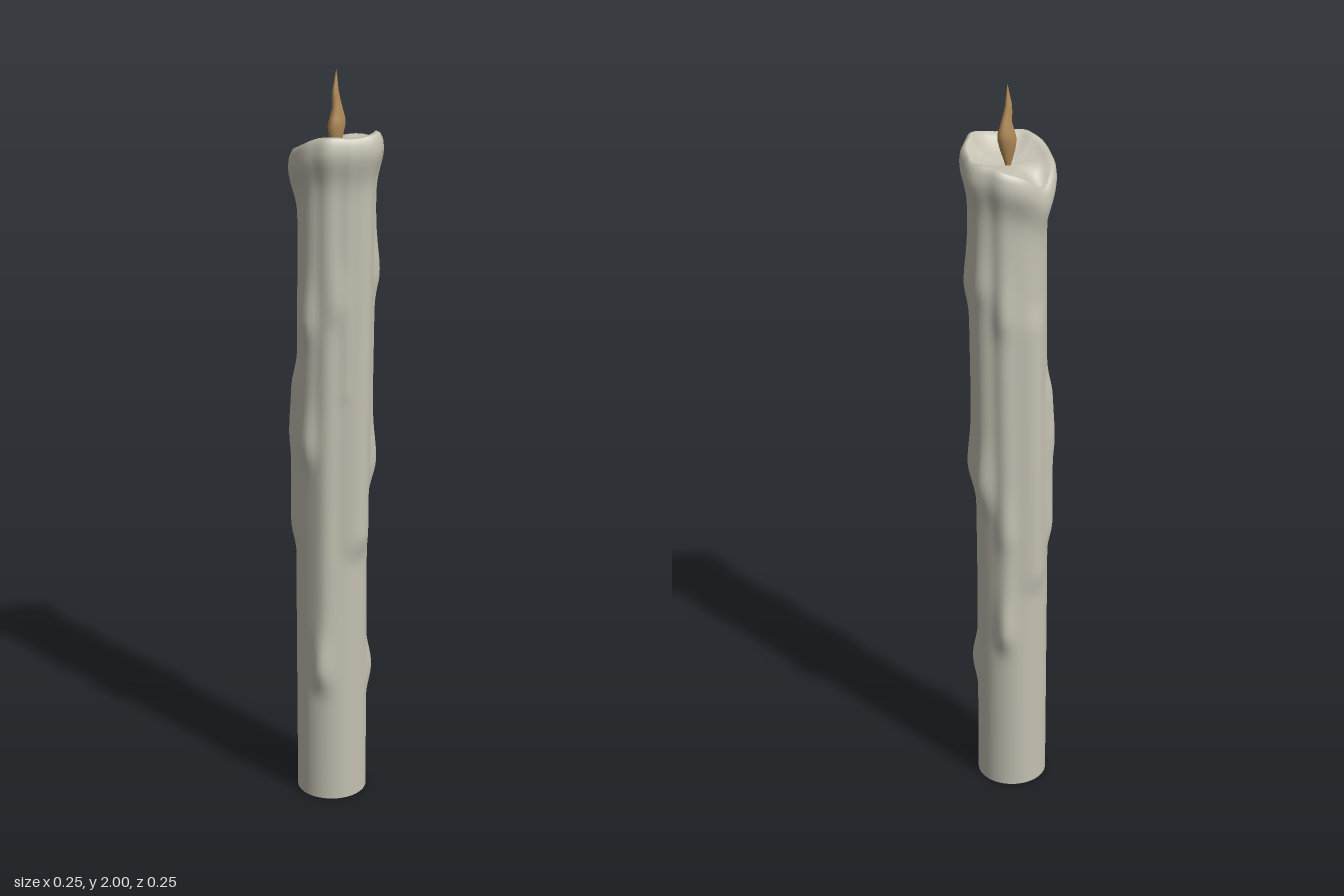
import * as THREE from 'three';

const SEG = 64;
const rad = THREE.MathUtils.degToRad;
const step = THREE.MathUtils.smoothstep;
// Bell curve on an angle in degrees, wrapping round the candle
const around = (a, centre, width) => {
  const d = ((a - centre + 540) % 360) - 180;
  return Math.exp(-((d / width) ** 2));
};

// Angle 0 is the front (+z), 90 is +x: [angle, top, bottom, thickness, width]
const DRIPS = [
  [0, 1.9, 0.74, 0.016, 26],
  [45, 1.9, 0.9, 0.010, 17],
  [45, 0.42, 0.32, 0.014, 13],
  [90, 1.9, 0.87, 0.013, 18],
  [128, 1.9, 0.45, 0.007, 14],
  [180, 1.42, 0.64, 0.011, 20],
  [222, 1.22, 0.76, 0.014, 18],
  [270, 1.9, 0.97, 0.008, 20],
  [300, 1.9, 0.34, 0.009, 17],
  [335, 1.9, 1.15, 0.008, 15],
];
// Swollen beads along the runs: [angle, height, thickness]
const BEADS = [
  [45, 1.48, 0.012], [45, 0.97, 0.012], [95, 1.5, 0.010], [92, 0.95, 0.010],
  [128, 0.5, 0.014], [130, 1.42, 0.010], [130, 0.8, 0.008], [270, 1.37, 0.012],
  [270, 1.04, 0.012], [292, 0.4, 0.014], [315, 1.42, 0.008], [222, 1.05, 0.006],
];

function waxRadius(a, y) {
  let bulge = 0;
  for (const [angle, top, bottom, thick, width] of DRIPS) {
    const run = step(y, bottom - 0.05, bottom + 0.04) * (1 - step(y, top - 0.05, top + 0.05));
    bulge = Math.max(bulge, thick * run * around(a, angle, width));
  }
  for (const [angle, h, thick] of BEADS) {
    const tall = y > h ? 0.09 : 0.05;
    bulge += thick * around(a, angle, 14) * Math.exp(-(((y - h) / tall) ** 2));
  }
  return 0.095 + bulge;
}

// Uneven rim, high at the front, with a melted notch at the back
const rimHeight = (a) => 1.83 + 0.025 * Math.cos(rad(a + 15))
  + 0.006 * Math.sin(rad(4 * a)) - 0.06 * around(a, 197, 26);

// Surface through closed rings; point(a, row) gives each position
function loft(rows, point) {
  const pos = [], index = [];
  for (let j = 0; j < rows; j++)
    for (let i = 0; i < SEG; i++) pos.push(...point(i * 360 / SEG, j));
  for (let j = 0; j < rows - 1; j++)
    for (let i = 0; i < SEG; i++) {
      const n = (i + 1) % SEG;
      const p = j * SEG + i, q = j * SEG + n, r = p + SEG, s = q + SEG;
      index.push(p, q, s, p, s, r);
    }
  const geo = new THREE.BufferGeometry();
  geo.setAttribute('position', new THREE.Float32BufferAttribute(pos, 3));
  geo.setIndex(index);
  geo.computeVertexNormals();
  return geo;
}

export function createModel() {
  const group = new THREE.Group();
  const wax = new THREE.MeshStandardMaterial({ color: 0xc4c1b2 });
  const flameMat = new THREE.MeshStandardMaterial({ color: 0xb08a58 });
  const add = (name, geo, mat) => {
    const mesh = new THREE.Mesh(geo, mat);
    mesh.name = name;
    group.add(mesh);
    return mesh;
  };

  // Wax body: outer wall with drips, flared lip, then the melted bowl
  const WALL = 110;
  // [radius factor, share of the rim height kept above the bowl, drop]
  const TOP = [[0.98, 1, 0.018], [0.92, 1, 0.003], [0.85, 1, 0], [0.76, 0.9, 0.006],
    [0.62, 0.55, 0.004], [0.42, 0.22, 0], [0.2, 0.06, 0], [0.001, 0, 0]];
  const bowl = 1.795;
  const body = loft(WALL + 1 + TOP.length, (a, j) => {
    const rim = rimHeight(a), shoulder = rim - 0.04;
    const lip = (y) => 0.021 * Math.exp(-(((y - shoulder) / 0.06) ** 2))
      * (1 + 0.12 * Math.sin(rad(5 * a + 30)));
    let y = shoulder * Math.min(j, WALL) / WALL;
    let r = waxRadius(a, y) + lip(y);
    let drift = step(y, 0.6, 1.8);
    if (j > WALL) {
      const [k, share, drop] = TOP[j - WALL - 1];
      r *= k;
      y = bowl + (rim - bowl) * share - drop;
      drift = 1;
    }
    return [Math.sin(rad(a)) * r - 0.005 + 0.005 * drift, y,
      Math.cos(rad(a)) * r - 0.01 + 0.009 * drift];
  });
  add('candleBody', body, wax);

  // Flat underside
  const base = add('candleBase', new THREE.CircleGeometry(0.095, SEG), wax);
  base.rotation.x = Math.PI / 2;
  base.position.set(-0.005, 0, -0.01);

  // Flame: flattened teardrop that twists and sways: [height, radius, sway]
  const FLAME = [[1.785, 0.004, 0.004], [1.81, 0.012, 0.004], [1.835, 0.021, 0.005],
    [1.86, 0.027, 0.007], [1.88, 0.025, 0.01], [1.905, 0.017, 0.01],
    [1.93, 0.014, 0.005], [1.95, 0.011, 0.003], [1.975, 0.006, 0.005], [2, 0.0005, 0.006]];
  add('flame', loft(FLAME.length, (a, j) => {
    const [y, r, sway] = FLAME[j];
    const twist = rad(j * 5 - 15);
    const x = Math.sin(rad(a)) * r, z = Math.cos(rad(a)) * r * 0.68;
    return [x * Math.cos(twist) + z * Math.sin(twist) + sway, y,
      z * Math.cos(twist) - x * Math.sin(twist) - 0.002];
  }), flameMat);

  return group;
}
